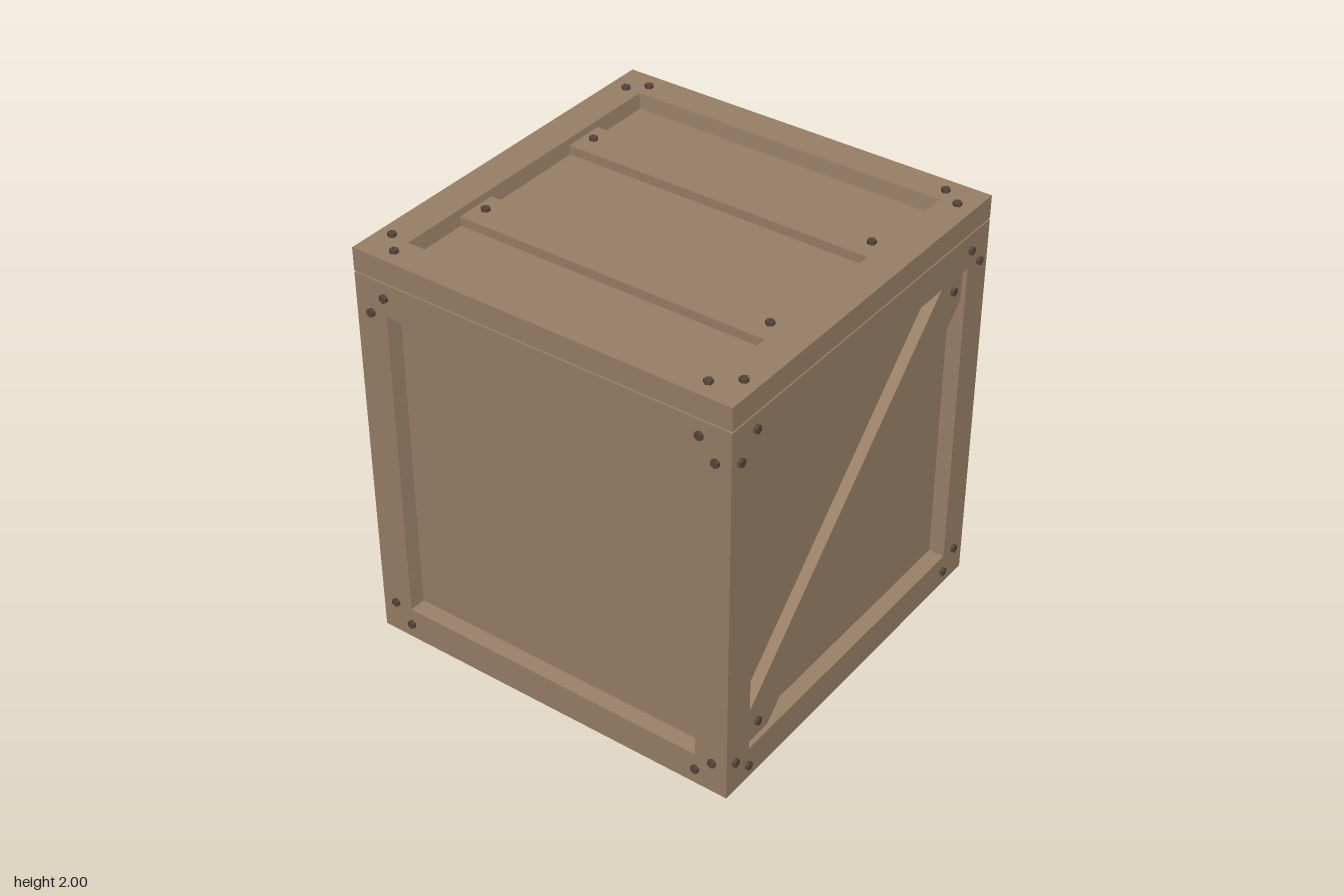
import * as THREE from 'three';

const HALF = 0.925, OPEN = 0.7675, INNER = 0.7575, DEPTH = 0.07;
const wood = new THREE.MeshStandardMaterial({ color: 0x988067, flatShading: true });
const iron = new THREE.MeshStandardMaterial({ color: 0x57443a, flatShading: true });

// Bolt positions [right, up] around each kind of frame
const FRONT = [[-0.845, 0.765], [-0.77, 0.86], [0.78, 0.86], [0.855, 0.765],
  [-0.85, -0.765], [-0.765, -0.85], [0.77, -0.845], [0.855, -0.765]];
const SIDE = [[-0.87, 0.765], [-0.77, 0.86], [0.78, 0.85], [0.855, 0.765],
  [-0.87, -0.765], [-0.775, -0.855], [0.76, -0.85], [0.845, -0.77]];
const LID = [[-0.765, 0.835], [-0.84, 0.765], [0.755, 0.84], [0.85, 0.775],
  [-0.855, -0.765], [-0.765, -0.855], [0.86, -0.76], [0.76, -0.845]];

// Square rings swept along a profile of [half width, height], facing up +z
function squareRings(profile) {
  const pts = profile.map(([r, h]) => new THREE.Vector2(r * Math.SQRT2, h));
  const g = new THREE.LatheGeometry(pts, 4).rotateY(Math.PI / 4).rotateX(Math.PI / 2).toNonIndexed();
  g.computeVertexNormals();
  return g;
}

function add(group, name, geometry, material, x = 0, y = 0, z = 0) {
  const mesh = new THREE.Mesh(geometry, material);
  mesh.name = name;
  mesh.position.set(x, y, z);
  group.add(mesh);
  return mesh;
}

const boltGeometry = new THREE.CylinderGeometry(0.02, 0.02, 0.025, 6).rotateX(Math.PI / 2);

// Hexagonal bolt heads standing 0.015 proud of the surface at height z
function addBolts(group, places, z = 0) {
  for (const [x, y] of places) add(group, 'bolt', boltGeometry, iron, x, y, z + 0.0025);
}

// Frame with a slightly tapered opening and a recessed panel
const RECESS = [[HALF, 0], [OPEN, 0], [INNER, -DEPTH], [0, -DEPTH]];
const panelGeometry = squareRings(RECESS);

// Diagonal board with its ends cut to the corners of the opening
function addBrace(group, sink) {
  const h = 0.76, c = 0.15;
  const shape = new THREE.Shape([[-h, -h], [c - h, -h], [h, h - c], [h, h], [h - c, h], [-h, c - h]]
    .map(([x, y]) => new THREE.Vector2(x, y)));
  const geometry = new THREE.ExtrudeGeometry(shape, { depth: DEPTH - sink, bevelEnabled: false });
  add(group, 'diagonalBrace', geometry, wood, 0, 0, -DEPTH);
  addBolts(group, [[-0.6875, -0.68], [0.6875, 0.69]], -sink);
}

export function createModel() {
  const crate = new THREE.Group();
  crate.name = 'crate';

  // Four walls; left and right carry a diagonal brace
  const walls = [['frontWall', 0, FRONT], ['rightWall', 1, SIDE, 0.018], ['backWall', 2, FRONT], ['leftWall', 3, SIDE, 0.002]];
  for (const [name, turn, bolts, sink] of walls) {
    const wall = new THREE.Group();
    wall.name = name;
    wall.rotation.y = turn * Math.PI / 2;
    wall.position.set(0, 0.9425, 0);
    const face = new THREE.Group();
    face.position.z = HALF;
    wall.add(face);
    add(face, 'framedPanel', panelGeometry, wood).scale.y = 0.9275 / HALF;
    addBolts(face, bolts);
    if (sink !== undefined) addBrace(face, sink);
    crate.add(wall);
  }

  // Base
  const base = new THREE.Group();
  base.name = 'base';
  base.rotation.x = Math.PI / 2;
  base.position.y = 0.015;
  add(base, 'framedPanel', panelGeometry, wood);
  addBolts(base, LID);
  crate.add(base);

  // Lid: groove above the walls, rim, recessed top
  const lid = new THREE.Group();
  lid.name = 'lid';
  lid.rotation.x = -Math.PI / 2;
  lid.position.y = 1.985;
  const groove = [[HALF, -0.115], [0.905, -0.115], [0.905, -0.107], [HALF, -0.107]];
  add(lid, 'framedLid', squareRings([...groove, ...RECESS]), wood);
  addBolts(lid, LID);

  // Two planks across the lid
  for (const side of [-1, 1]) {
    add(lid, 'lidPlank', new THREE.BoxGeometry(1.522, 0.2, 0.045), wood, 0, side * 0.36, -0.0505);
    addBolts(lid, [[-0.708, side * 0.36], [0.702, side * 0.36]], -0.028);
  }
  crate.add(lid);
  return crate;
}
